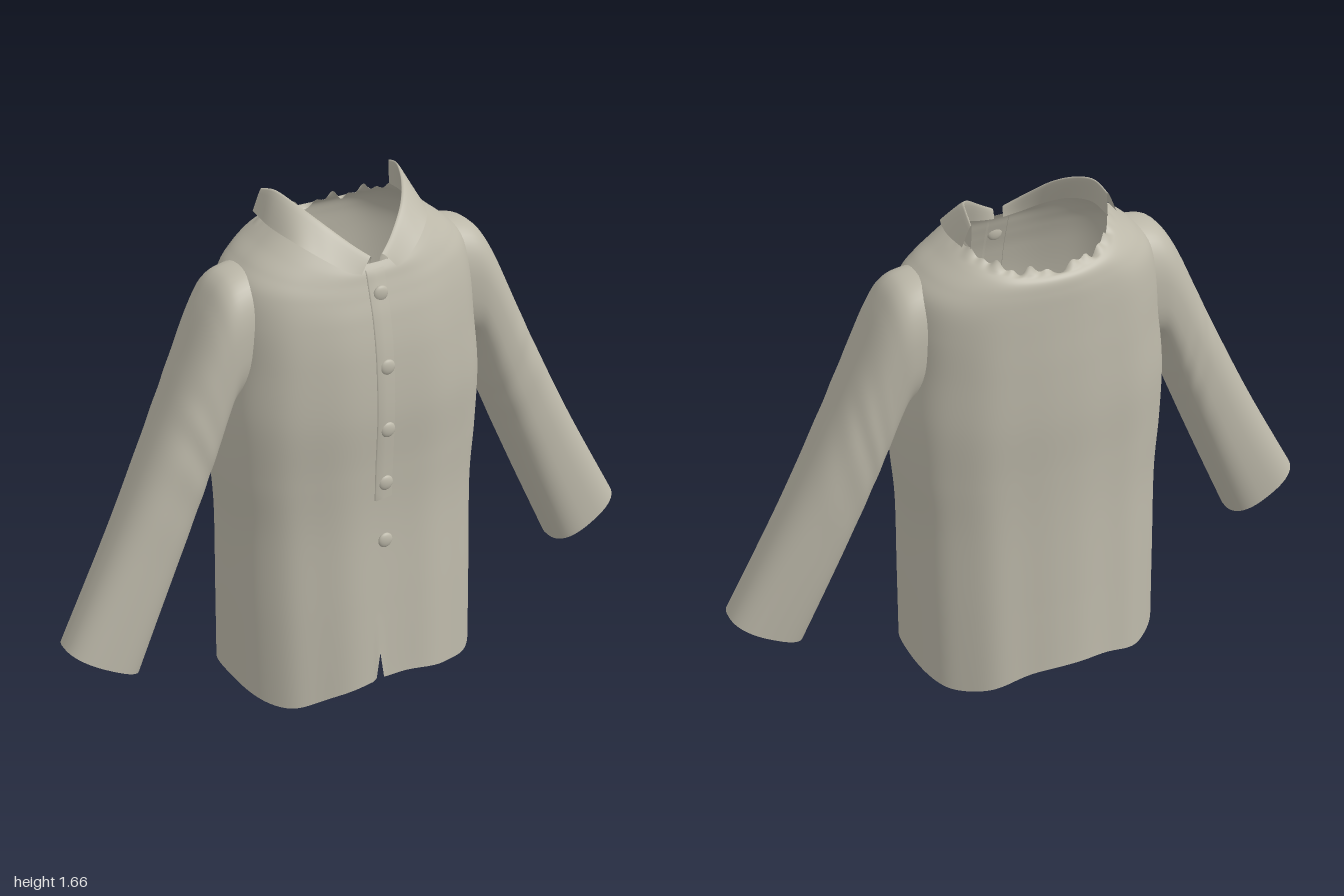
import * as THREE from 'three';

const POWER = 2.4; // squareness of the torso section
const spow = (v, p) => Math.sign(v) * Math.pow(Math.abs(v), p);

// Smooth interpolation through rows of numbers, t in 0..1
function sampleRows(rows, t) {
  const f = Math.min(Math.max(t, 0), 1) * (rows.length - 1);
  const i = Math.min(Math.floor(f), rows.length - 2), k = f - i;
  const at = (j) => rows[Math.min(Math.max(j, 0), rows.length - 1)];
  return rows[0].map((_, c) => {
    const a = at(i - 1)[c], b = at(i)[c], d = at(i + 1)[c], e = at(i + 2)[c];
    const m0 = (d - a) / 2, m1 = (e - b) / 2;
    return b + k * m0 + k * k * (3 * (d - b) - 2 * m0 - m1) + k * k * k * (2 * (b - d) + m0 + m1);
  });
}

// Grid surface from a function of (u, v); closed joins v into a ring, hole(point) leaves cells out
function surface(fn, nu, nv, closed, hole = () => false) {
  const pts = [], idx = [], cols = closed ? nv : nv + 1;
  for (let i = 0; i <= nu; i++)
    for (let j = 0; j < cols; j++) pts.push(fn(i / nu, j / nv));
  for (let i = 0; i < nu; i++)
    for (let j = 0; j < nv; j++) {
      const j1 = (j + 1) % cols, a = i * cols + j, b = i * cols + j1;
      const c = a + cols, d = b + cols;
      if (!hole(pts[a])) idx.push(a, c, b, b, c, d);
    }
  const g = new THREE.BufferGeometry();
  g.setAttribute('position', new THREE.Float32BufferAttribute(pts.flat(), 3));
  g.setIndex(idx);
  g.computeVertexNormals();
  return g;
}

// Torso rows: half width, front depth, back depth, then height at front, side and back
const TORSO = [
  [0.425, 0.298, 0.304, 0.00, 0.00, 0.00],
  [0.425, 0.283, 0.290, 0.30, 0.30, 0.30],
  [0.425, 0.266, 0.277, 0.60, 0.60, 0.60],
  [0.438, 0.268, 0.275, 0.80, 0.80, 0.80],
  [0.440, 0.278, 0.280, 1.00, 1.00, 1.00],
  [0.422, 0.268, 0.275, 1.18, 1.18, 1.18],
  [0.412, 0.248, 0.268, 1.30, 1.32, 1.30],
  [0.390, 0.228, 0.263, 1.37, 1.42, 1.38],
  [0.345, 0.215, 0.258, 1.41, 1.475, 1.44],
  [0.290, 0.205, 0.248, 1.44, 1.520, 1.48],
  [0.238, 0.190, 0.218, 1.465, 1.565, 1.50],
];

// Point on the torso; angle 0 is the left side, PI / 2 the front
function torsoPoint(t, a) {
  const [w, f, b, yF, yS, yB] = sampleRows(TORSO, t);
  const c = Math.cos(a), s = Math.sin(a), low = Math.max(0, 1 - t * 1.5);
  const x = w * spow(c, 2 / POWER);
  let z = (s > 0 ? f : b) * spow(s, 2 / POWER);
  // soft hanging folds
  z *= 1 + (0.005 + 0.015 * low) * Math.sin(11 * a + 0.6) * Math.abs(s);
  const yMid = s > 0 ? yF : yB;
  let y = yMid + (yS - yMid) * c * c;
  // wavy hem with a narrow front slit
  const hem = 0.031 + 0.025 * Math.cos(4 * a) - 0.015 * c * c;
  const slit = s > 0 ? 0.1 * Math.exp(-Math.pow((x + 0.035) / 0.008, 2)) : 0;
  y += (hem + slit) * Math.max(0, 1 - t * 10);
  // ragged edge at the back of the neck
  const ragged = Math.max(0, t - 0.94) / 0.06 * Math.max(0, -s);
  y += ragged * (0.012 * Math.sin(13 * a) + 0.01 * Math.sin(29 * a + 1));
  return [x, y, z];
}

// Armhole covered by the sleeve
const armhole = ([x, y, z]) =>
  Math.abs(x) > 0.3 && Math.pow((y - 1.26) / 0.17, 2) + Math.pow(z / 0.11, 2) < 1;

// Row parameter where the front of the torso reaches a height
function frontParam(y) {
  let lo = 0, hi = 1;
  for (let i = 0; i < 30; i++) {
    const mid = (lo + hi) / 2;
    if (torsoPoint(mid, Math.PI / 2)[1] < y) lo = mid; else hi = mid;
  }
  return lo;
}

function frontPoint(t, x) {
  const w = sampleRows(TORSO, t)[0];
  return torsoPoint(t, Math.acos(spow(x / w, POWER / 2)));
}

// Sleeve sections: upper x, y, lower x, y, front z, back z
const SLEEVE = [
  [0.335, 1.468, 0.395, 1.06, 0.130, -0.138],
  [0.425, 1.445, 0.425, 1.04, 0.138, -0.138],
  [0.485, 1.368, 0.450, 0.98, 0.140, -0.132],
  [0.57, 1.19, 0.49, 0.87, 0.140, -0.122],
  [0.66, 1.00, 0.555, 0.71, 0.138, -0.108],
  [0.81, 0.70, 0.66, 0.465, 0.136, -0.082],
  [1.00, 0.35, 0.77, 0.215, 0.138, -0.052],
];

function sleevePoint(t, v, side) {
  const [tx, ty, bx, by, zf, zb] = sampleRows(SLEEVE, t);
  const a = v * Math.PI * 2;
  const k = (1 + spow(Math.cos(a), 0.8)) / 2;
  // faint wrinkles round the elbow
  const crease = 0.002 * Math.sin(t * 55 + 2 * a) * Math.exp(-Math.pow((t - 0.6) / 0.13, 2));
  const z = (zf + zb) / 2 + ((zf - zb) / 2 + crease) * spow(Math.sin(a), 0.8);
  return [side * (bx + (tx - bx) * k), by + (ty - by) * k, z];
}

// Collar edges from the front tip to the side: outer fall, fold line, inner stand
const COLLAR = [
  [[0.06, 1.447, 0.212], [0.10, 1.46, 0.203], [0.165, 1.503, 0.172], [0.225, 1.545, 0.11], [0.252, 1.562, 0.0], [0.25, 1.572, -0.105]],
  [[0.02, 1.49, 0.195], [0.07, 1.53, 0.163], [0.135, 1.59, 0.105], [0.18, 1.632, 0.035], [0.208, 1.654, -0.04], [0.22, 1.638, -0.105]],
  [[0.015, 1.455, 0.186], [0.07, 1.47, 0.172], [0.13, 1.5, 0.14], [0.185, 1.535, 0.08], [0.218, 1.56, -0.01], [0.222, 1.56, -0.105]],
];

function collarPoint(u, v, side) {
  const [x, y, z] = sampleRows(COLLAR.map((edge) => sampleRows(edge, u)), v);
  return [side * x, y, z];
}

export function createModel() {
  const group = new THREE.Group();
  const cloth = new THREE.MeshStandardMaterial({ color: 0xbcb8a9, side: THREE.DoubleSide });
  cloth.name = 'beige cloth';
  const add = (name, geometry) => {
    const mesh = new THREE.Mesh(geometry, cloth);
    mesh.name = name;
    group.add(mesh);
    return mesh;
  };

  // Body of the shirt, open at hem, neck and armholes
  add('torso', surface((u, v) => torsoPoint(u, v * Math.PI * 2), 100, 256, true, armhole));

  // Sleeves and collar halves
  for (const [label, side] of [['left', 1], ['right', -1]]) {
    add(label + 'Sleeve', surface((u, v) => sleevePoint(u, v, side), 60, 48, true));
    add(label + 'Collar', surface((u, v) => collarPoint(u, v, side), 30, 12, false));
  }

  // Overlapping front edge of the button placket
  const t0 = frontParam(0.7), t1 = frontParam(1.45);
  const steps = [[-0.042, -0.002], [-0.039, 0.006], [-0.01, 0.004], [0.03, -0.001]];
  add('placket', surface((u, v) => {
    const [x, lift] = steps[Math.round(v * 3)];
    const p = frontPoint(t0 + (t1 - t0) * u, x);
    return [p[0], p[1], p[2] + lift];
  }, 40, 3, false));

  // Buttons
  const buttonShape = new THREE.SphereGeometry(0.025, 20, 12);
  [1.38, 1.155, 0.945, 0.755, 0.55].forEach((y, i) => {
    const p = frontPoint(frontParam(y), -0.004);
    const button = add('button' + (i + 1), buttonShape);
    button.position.set(-0.004, y, p[2] + 0.003);
    button.scale.z = 0.4;
  });

  return group;
}
